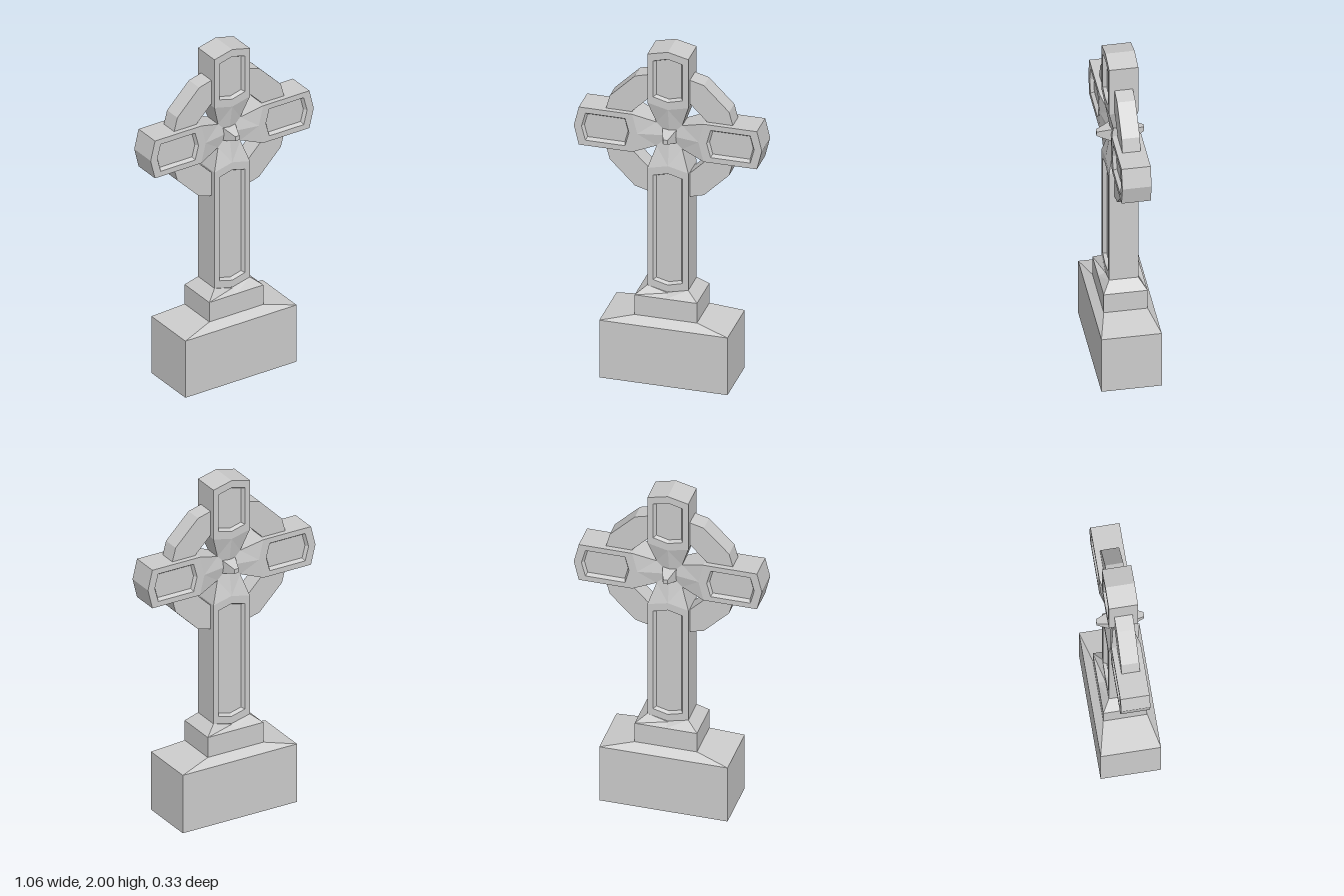
import * as THREE from 'three';

const stone = new THREE.MeshStandardMaterial({ color: 0xcccccc, flatShading: true });
const CENTRE = 1.475; // height of the crossing

function mesh(name, geometry) {
  const m = new THREE.Mesh(geometry, stone);
  m.name = name;
  return m;
}

function fromTriangles(positions) {
  const g = new THREE.BufferGeometry();
  g.setAttribute('position', new THREE.Float32BufferAttribute(positions, 3));
  g.computeVertexNormals();
  return g;
}

const quad = (out, a, b, c, d) => out.push(...a, ...b, ...c, ...a, ...c, ...d);

function fan(out, ring) {
  for (let i = 1; i < ring.length - 1; i++) out.push(...ring[0], ...ring[i], ...ring[i + 1]);
}

// Joins equal-sized rings in order and closes the last one
function loft(out, rings) {
  for (let r = 0; r < rings.length - 1; r++) {
    const a = rings[r], b = rings[r + 1], n = a.length;
    for (let i = 0; i < n; i++) {
      const j = (i + 1) % n;
      quad(out, a[i], a[j], b[j], b[i]);
    }
  }
  fan(out, rings[rings.length - 1]);
}

// Long hexagon with pointed ends, lying across z
function hexagon(w, y0, y1, tip, z) {
  return [[0, y0 - tip, z], [w, y0, z], [w, y1, z], [0, y1 + tip, z], [-w, y1, z], [-w, y0, z]];
}

// One arm along +y from the crossing, with a sunken panel and a flared waist
function armGeometry(end) {
  const half = [];
  const face = hexagon(0.115, 0.2, end, 0.028, 0.08);
  loft(half, [
    hexagon(0.115, 0.2, end, 0.028, 0),
    face,
    hexagon(0.083, 0.24, end - 0.037, 0.022, 0.08),
    hexagon(0.07, 0.247, end - 0.044, 0.018, 0.06),
  ]);

  // Waist facets sloping down into the crossing
  const c = 0.072, cz = 0.05, O = [0, 0, cz];
  const P = face[0], AR = face[1], AL = face[5];
  const CR = [c, c, cz], CL = [-c, c, cz];
  half.push(...CR, ...AR, ...P, ...O, ...CR, ...P, ...O, ...P, ...CL, ...CL, ...P, ...AL);
  const flat = ([x, y]) => [x, y, 0];
  quad(half, flat(CR), flat(AR), AR, CR);
  quad(half, flat(AL), flat(CL), CL, AL);

  // The back is the front turned about the arm's axis
  const all = half.slice();
  for (let i = 0; i < half.length; i += 3) all.push(-half[i], half[i + 1], -half[i + 2]);
  return fromTriangles(all);
}

// Stepped plinth whose top dips at the middle of the front and back
function plinthGeometry() {
  const ring = (w, d, y, mid = y) =>
    [[0, mid, d], [w, y, d], [w, y, -d], [0, mid, -d], [-w, y, -d], [-w, y, d]];
  const out = [];
  const bottom = ring(0.36, 0.165, 0);
  loft(out, [
    bottom,
    ring(0.36, 0.165, 0.35),
    ring(0.175, 0.12, 0.39),
    ring(0.175, 0.12, 0.51),
    ring(0.115, 0.08, 0.56, 0.527),
  ]);
  fan(out, bottom.slice().reverse());
  return fromTriangles(out);
}

// Twelve-sided ring around the crossing
function ringGeometry() {
  const polygon = (r) => Array.from({ length: 12 }, (_, i) => {
    const a = (i * Math.PI) / 6;
    return new THREE.Vector2(r * Math.cos(a), r * Math.sin(a));
  });
  const shape = new THREE.Shape(polygon(0.387));
  shape.holes.push(new THREE.Path(polygon(0.24)));
  return new THREE.ExtrudeGeometry(shape, { depth: 0.1, bevelEnabled: false }).translate(0, 0, -0.05);
}

export function createModel() {
  const model = new THREE.Group();
  model.name = 'stoneCross';
  model.add(mesh('plinth', plinthGeometry()));

  const head = new THREE.Group();
  head.name = 'crossHead';
  head.position.y = CENTRE;
  model.add(head);

  // Four arms, the lowest one being the long shaft
  const arms = [['topArm', 0.497], ['rightArm', 0.5], ['shaft', 0.915], ['leftArm', 0.5]];
  arms.forEach(([name, end], i) => {
    const arm = mesh(name, armGeometry(end));
    arm.rotation.z = (i * Math.PI) / 2;
    head.add(arm);
  });

  head.add(mesh('ring', ringGeometry()));

  // Square tapered boss on the front and back
  for (const side of [1, -1]) {
    const g = new THREE.CylinderGeometry(0.013 * Math.SQRT2, 0.043 * Math.SQRT2, 0.09, 4);
    g.rotateY(Math.PI / 4).rotateX((side * Math.PI) / 2).translate(0, 0, side * 0.085);
    head.add(mesh(side > 0 ? 'frontBoss' : 'backBoss', g));
  }
  return model;
}
